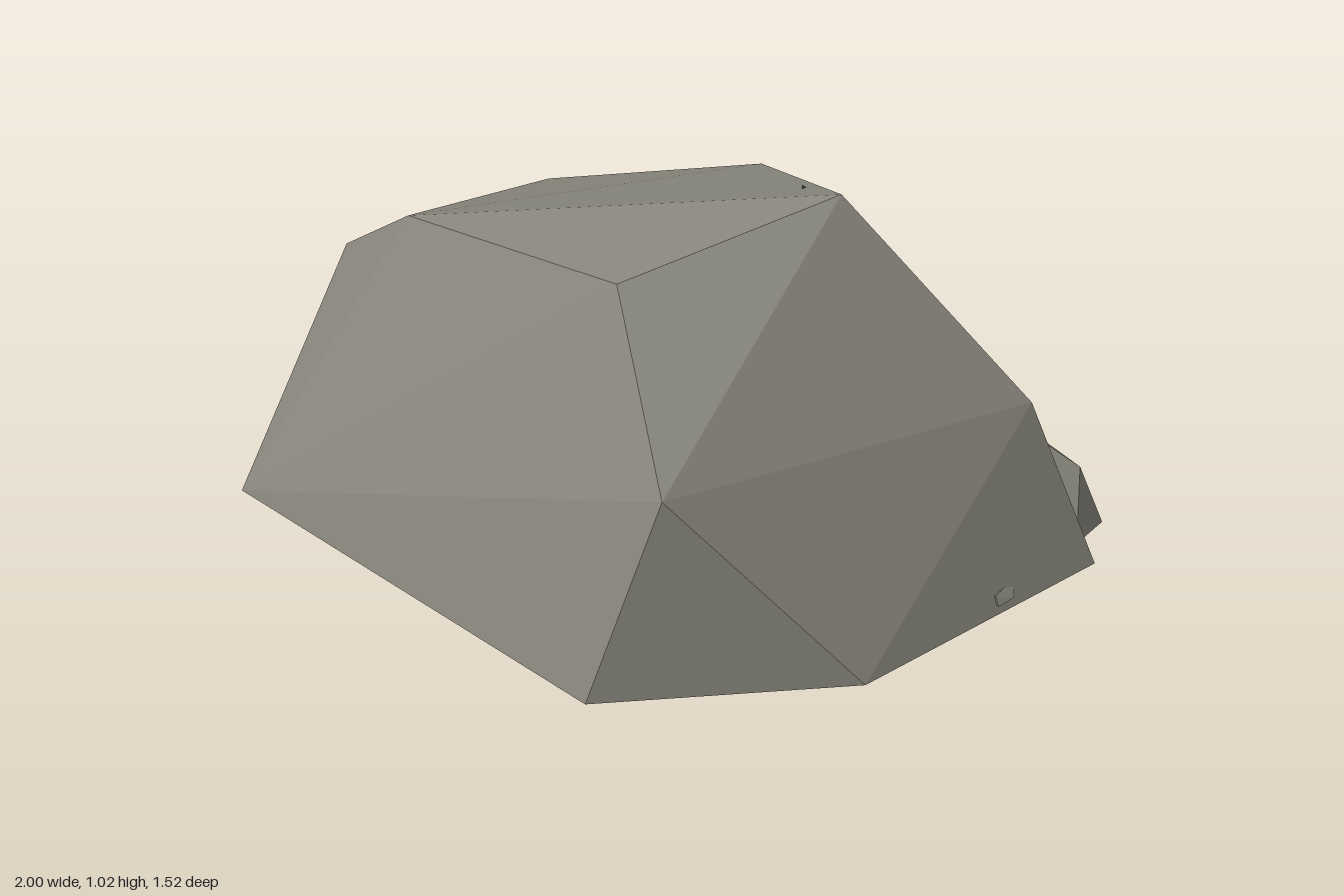
import * as THREE from 'three';
import { ConvexGeometry } from 'three/addons/geometries/ConvexGeometry.js';

const stone = new THREE.MeshStandardMaterial({ color: 0x8a887e });
stone.name = 'stone';
const crackDark = new THREE.MeshStandardMaterial({ color: 0x3e3d38 });
crackDark.name = 'crack dark';

// Faceted solid wrapped around a few corner points
function facetedSolid(name, corners) {
  const points = corners.map((c) => new THREE.Vector3(...c));
  const mesh = new THREE.Mesh(new ConvexGeometry(points), stone);
  mesh.name = name;
  return mesh;
}

// Thin crack laid on the rock along a plan path of [x, z] points
function crack(name, rock, path) {
  const ray = new THREE.Raycaster();
  const down = new THREE.Vector3(0, -1, 0);
  const curve = new THREE.CurvePath();
  const points = path.map(([x, z]) => {
    ray.set(new THREE.Vector3(x, 3, z), down);
    return ray.intersectObject(rock)[0].point;
  });
  for (let i = 1; i < points.length; i++) curve.add(new THREE.LineCurve3(points[i - 1], points[i]));
  const mesh = new THREE.Mesh(new THREE.TubeGeometry(curve, 18, 0.011, 5, false), crackDark);
  mesh.name = name;
  return mesh;
}

export function createModel() {
  const group = new THREE.Group();
  group.name = 'boulder';

  // Main boulder: ground outline, shoulders and crown
  const rock = facetedSolid('mainRock', [
    [-1, 0, 0], [-0.77, 0, 0.755], [0.55, 0, 0.76], [0.95, 0, 0.24],
    [1, 0, -0.56], [0.29, 0, -0.72], [-0.71, 0, -0.59],
    [-0.86, 0.53, 0.3], [0.69, 0.56, 0.65], [0.89, 0.48, -0.4], [-0.81, 0.44, -0.46],
    [-0.42, 0.81, 0.44], [0.38, 0.93, 0.49], [0.54, 1.02, -0.08],
    [-0.01, 0.82, -0.39], [-0.58, 0.66, -0.17],
  ]);
  group.add(rock);

  // Slab leaning against the back
  group.add(facetedSolid('backSlab', [
    [-0.31, 0.03, -0.73], [0.47, 0.03, -0.76], [0.92, 0.03, -0.69],
    [-0.33, 0.23, -0.65], [0.22, 0.37, -0.61], [0.91, 0.23, -0.59],
    [-0.37, 0.23, -0.585], [0.2, 0.4, -0.52], [0.41, 0.4, -0.52], [0.77, 0.35, -0.48],
    [-0.34, 0.03, -0.63], [0.3, 0.03, -0.66], [0.94, 0.03, -0.56],
  ]));

  // Small chip low on the left flank
  group.add(facetedSolid('sideChip', [
    [0.985, 0.03, -0.2], [0.985, 0.03, -0.26], [0.975, 0.055, -0.2],
    [0.96, 0.065, -0.28], [0.92, 0.03, -0.23],
  ]));

  // Cracks across the back slope
  const paths = [
    [[-0.58, -0.455], [-0.31, -0.51], [-0.12, -0.54], [0.09, -0.59]],
    [[0.1, -0.455], [0.28, -0.495], [0.43, -0.5], [0.59, -0.52]],
    [[0.37, -0.12], [0.42, -0.235], [0.52, -0.34], [0.59, -0.46]],
  ];
  paths.forEach((path, i) => group.add(crack(`crack${i + 1}`, rock, path)));

  return group;
}
